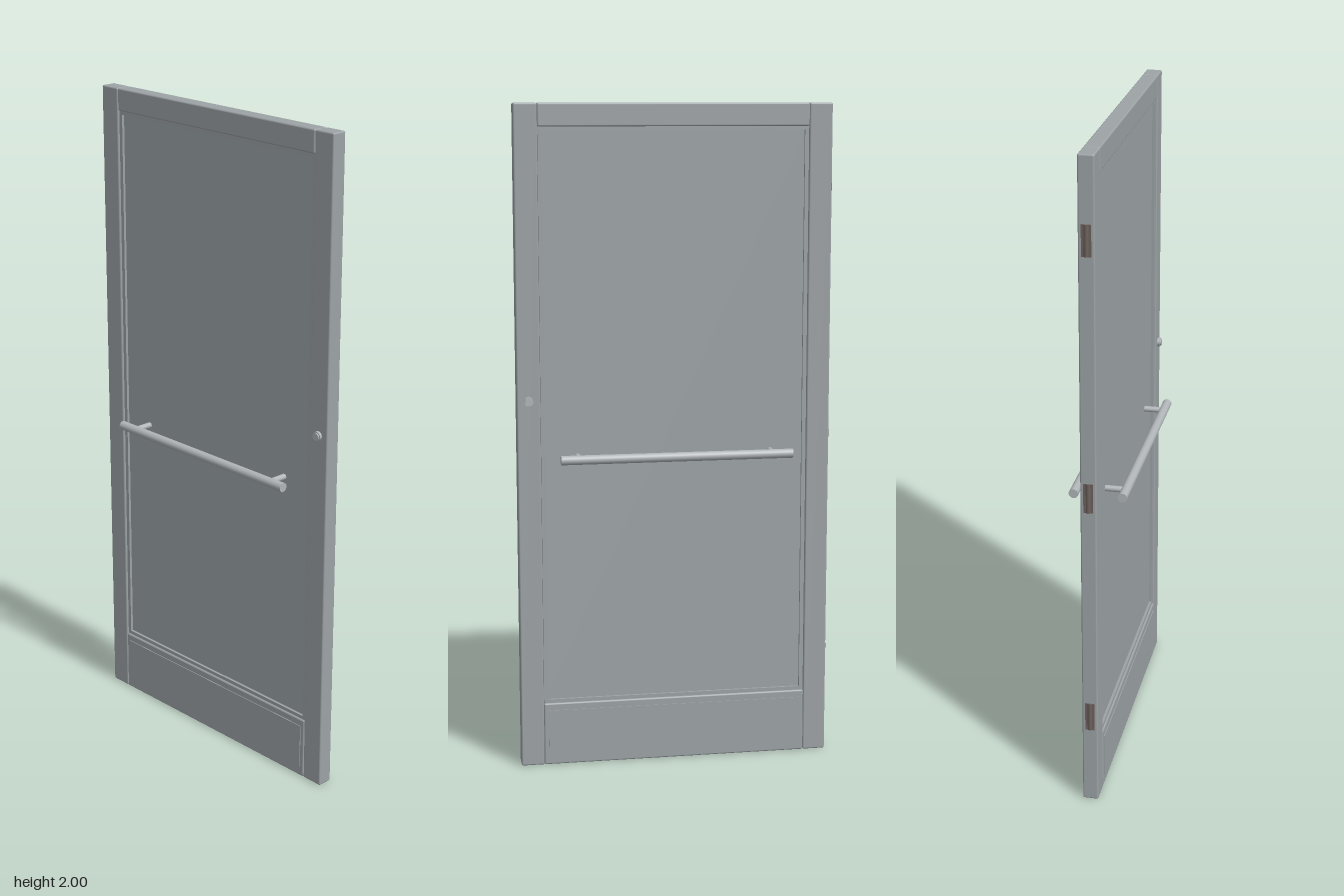
import * as THREE from 'three';
import { RoundedBoxGeometry } from 'three/addons/geometries/RoundedBoxGeometry.js';

export function createModel() {
  const door = new THREE.Group();
  door.name = 'door';
  const material = (name, color) => Object.assign(new THREE.MeshStandardMaterial({ color }), { name });
  const frameGrey = material('frame grey', 0x9da3a6);
  const panelGrey = material('panel grey', 0x9da4a7);
  const steel = material('brushed steel', 0xb0b5b8);
  const bronze = material('hinge bronze', 0x6e625c);

  const add = (name, geometry, mat, x, y, z) => {
    const mesh = new THREE.Mesh(geometry, mat);
    mesh.name = name;
    mesh.position.set(x, y, z);
    door.add(mesh);
    return mesh;
  };
  // Block given by its edges in x and y and its depth, with softened corners
  const block = (name, mat, x0, x1, y0, y1, depth, r) => add(name,
    new RoundedBoxGeometry(x1 - x0, y1 - y0, depth, 2, r), mat, (x0 + x1) / 2, (y0 + y1) / 2, 0);
  const rod = (name, radius, length, mat, axis, x, y, z) => {
    const g = new THREE.CylinderGeometry(radius, radius, length, 24);
    if (axis === 'x') g.rotateZ(Math.PI / 2);
    if (axis === 'z') g.rotateX(Math.PI / 2);
    return add(name, g, mat, x, y, z);
  };

  const cx = 0.002, depth = 0.047;

  // Stiles and rails
  block('hingeStile', frameGrey, -0.474, -0.404, 0, 2, depth, 0.005);
  block('lockStile', frameGrey, 0.408, 0.478, 0, 2, depth, 0.005);
  block('topRail', frameGrey, -0.404, 0.408, 1.932, 2, depth, 0.005);
  block('bottomRail', frameGrey, -0.404, 0.408, 0, 0.194, depth, 0.005);

  // Recessed panel
  add('panel', new THREE.BoxGeometry(0.81, 1.742, 0.02), panelGrey, cx, 1.063, 0);

  // Glazing bead around the panel
  const bead = new THREE.Shape();
  bead.moveTo(-0.405, 0.193).lineTo(0.405, 0.193).lineTo(0.405, 1.933).lineTo(-0.405, 1.933).closePath();
  const opening = new THREE.Path();
  opening.moveTo(-0.393, 0.205).lineTo(-0.393, 1.921).lineTo(0.393, 1.921).lineTo(0.393, 0.205).closePath();
  bead.holes.push(opening);
  add('glazingBead', new THREE.ExtrudeGeometry(bead, { depth: 0.036, bevelEnabled: false }),
    frameGrey, cx, 0, -0.018);

  for (const side of [1, -1]) {
    // Kick plate on each face
    add('kickPlate', new THREE.BoxGeometry(0.784, 0.14, 0.003), frameGrey, cx, 0.102, side * 0.0245);

    // Push bar with two posts
    rod('pushBar', 0.014, 0.704, steel, 'x', cx, 0.956, side * 0.072);
    for (const end of [1, -1]) {
      rod('barPost', 0.009, 0.062, steel, 'z', cx + end * 0.295, 0.956, side * 0.041);
    }

    // Lock cylinder with a raised core
    rod('lockCollar', 0.014, 0.008, steel, 'z', 0.443, 1.128, side * 0.0275);
    rod('lockCore', 0.011, 0.006, steel, 'z', 0.443, 1.128, side * 0.033);
  }

  // Hinges on the left-hand edge of the front
  for (const y of [0.29, 1.007, 1.765]) {
    add('hingeLeaf', new THREE.BoxGeometry(0.004, 0.09, 0.028), bronze, -0.4735, y, 0);
    rod('hingeKnuckle', 0.008, 0.09, bronze, 'y', -0.471, y, 0);
  }
  return door;
}
